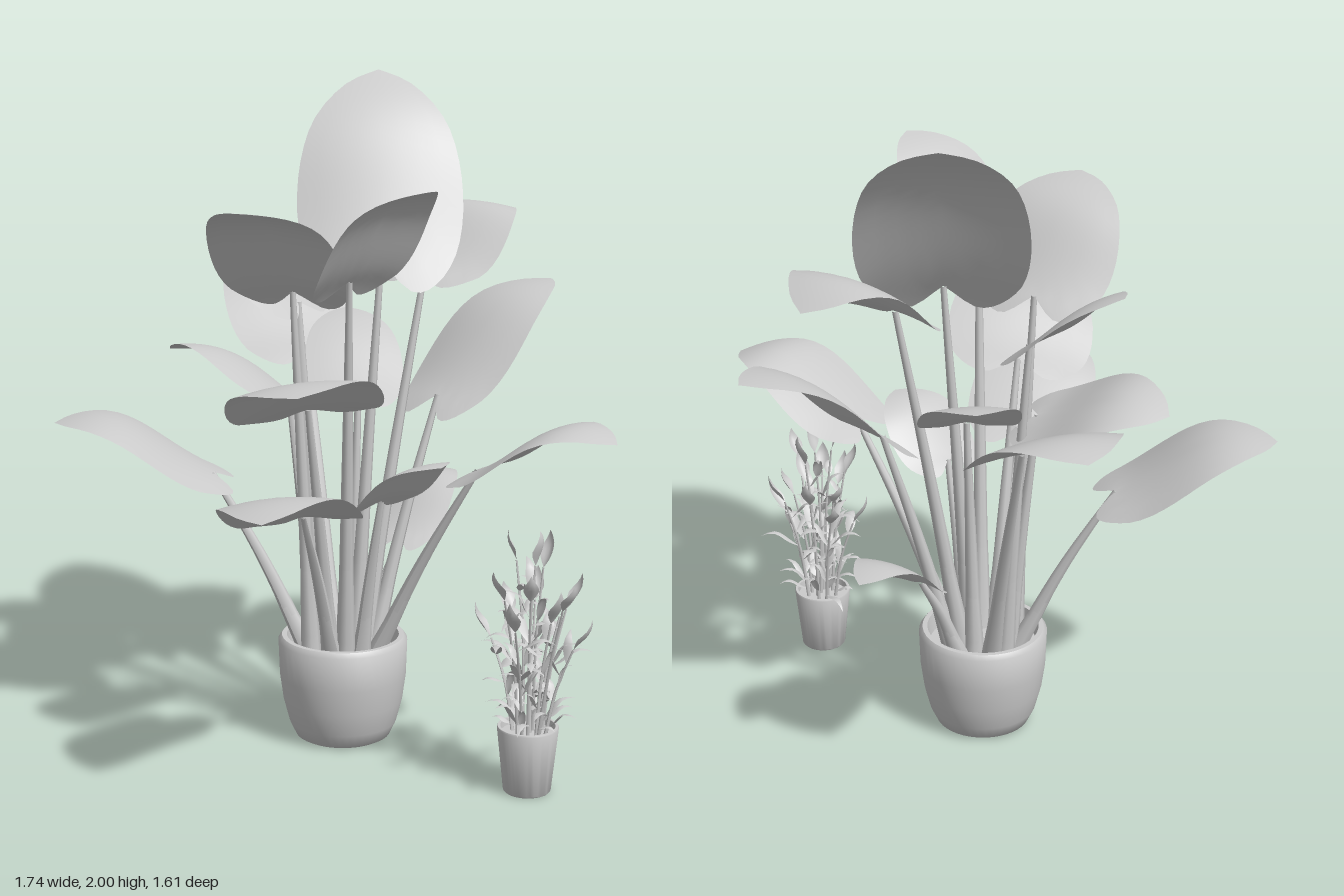
import * as THREE from 'three';
import { toCreasedNormals } from 'three/addons/utils/BufferGeometryUtils.js';

const V = (x, y, z) => new THREE.Vector3(x, y, z);
const grey = new THREE.MeshStandardMaterial({ color: 0xcccccc, roughness: 0.8 });
const thin = new THREE.MeshStandardMaterial({ color: 0xcccccc, roughness: 0.8, side: THREE.DoubleSide });

let seed = 7;
const rand = () => (seed = (seed * 16807) % 2147483647) / 2147483647;
const range = (a, b) => a + (b - a) * rand();

// Half outlines: x = distance along the midrib (0 base, 1 tip), y = share of the full width
const outline = pts => new THREE.SplineCurve(pts.map(p => new THREE.Vector2(...p)));
const HEART = outline([[0, 0], [-0.14, 0.18], [-0.1, 0.33], [0.05, 0.45], [0.26, 0.5],
  [0.5, 0.48], [0.72, 0.39], [0.91, 0.2], [1, 0]]);
const LANCE = outline([[0, 0], [0.2, 0.32], [0.42, 0.5], [0.7, 0.35], [1, 0]]);

function add(group, name, geometry, material) {
  const mesh = new THREE.Mesh(geometry, material);
  mesh.name = name;
  group.add(mesh);
  return mesh;
}

// Leaf blade: a grid stretched between the midrib and the outline, then arched (most near the tip) and cupped
function bladeGeometry({ base, tip, width, shape, roll = 0, arch = 0.13, cup = 0.25, rows = 24, cols = 4 }) {
  const along = tip.clone().sub(base);
  const length = along.length();
  const dir = along.clone().normalize();
  const side = dir.clone().cross(V(0, 1, 0)).normalize().applyAxisAngle(dir, roll);
  const normal = side.clone().cross(dir);
  const geo = new THREE.PlaneGeometry(1, 1, cols * 2, rows);
  const pos = geo.attributes.position;
  for (let i = 0; i <= rows; i++) {
    const t = i / rows;
    const edge = shape.getPoint(t);
    for (let j = -cols; j <= cols; j++) {
      const f = j / cols;
      const s = THREE.MathUtils.lerp(t, edge.x, Math.abs(f));
      const w = edge.y * f;
      const h = arch * length * Math.sin(Math.PI * s * Math.sqrt(Math.abs(s))) - cup * width * w * w;
      const p = base.clone().addScaledVector(along, s).addScaledVector(side, w * width).addScaledVector(normal, h);
      pos.setXYZ(i * (cols * 2 + 1) + j + cols, p.x, p.y, p.z);
    }
  }
  geo.computeVertexNormals();
  return geo;
}

// Tapered stalk along a curve
function stalkGeometry(curve, r0, r1, segments = 14, sides = 8) {
  const geo = new THREE.TubeGeometry(curve, segments, 1, sides);
  const pos = geo.attributes.position;
  const v = V(0, 0, 0);
  for (let i = 0; i <= segments; i++) {
    const t = i / segments;
    const c = curve.getPointAt(t);
    for (let j = 0; j <= sides; j++) {
      const k = i * (sides + 1) + j;
      v.fromBufferAttribute(pos, k).sub(c).multiplyScalar(THREE.MathUtils.lerp(r0, r1, t)).add(c);
      pos.setXYZ(k, v.x, v.y, v.z);
    }
  }
  geo.computeVertexNormals();
  return geo;
}

function pot(name, x, z, profile, soilRadius, soilY) {
  const g = new THREE.Group();
  g.name = name;
  g.position.set(x, 0, z);
  const lathe = new THREE.LatheGeometry(profile.map(p => new THREE.Vector2(...p)), 40);
  add(g, name + 'Shell', toCreasedNormals(lathe, 0.7), grey);
  add(g, name + 'Soil', new THREE.CylinderGeometry(soilRadius, soilRadius, 0.01, 32), grey).position.y = soilY;
  return g;
}

// One broad leaf: its stalk rises from a ring in the soil, on the side the leaf leans to
function broadLeaf(base, tip, width, { roll, arch, ring = 0.1 }) {
  const leaf = new THREE.Group();
  leaf.name = 'broadLeaf';
  const centre = V(-0.05, 0.25, -0.012);
  const root = base.clone().sub(centre).setY(0).setLength(ring).add(centre);
  const mid = root.clone().lerp(base, 0.5).add(V(0, 0.025, 0));
  const sheathTop = root.clone().lerp(base, 0.42).add(V(0, 0.02, 0));
  add(leaf, 'blade', bladeGeometry({ base, tip, width, shape: HEART, roll, arch }), thin);
  add(leaf, 'stalk', stalkGeometry(new THREE.CatmullRomCurve3([root, mid, base]), 0.026, 0.009), grey);
  add(leaf, 'sheath', stalkGeometry(new THREE.LineCurve3(root, sheathTop), 0.032, 0.014, 6), grey);
  return leaf;
}

function largePlant() {
  const g = new THREE.Group();
  g.name = 'largePlant';
  g.add(pot('largePot', -0.05, -0.012, [[0, 0], [0.13, 0], [0.145, 0.008], [0.165, 0.05], [0.183, 0.12],
    [0.194, 0.2], [0.198, 0.31], [0.187, 0.325], [0.172, 0.325], [0.163, 0.26]], 0.166, 0.265));
  const leaf = (base, tip, width, shape = {}) => g.add(broadLeaf(V(...base), V(...tip), width, shape));
  // top tier
  leaf([0, 1.47, -0.13], [-0.26, 2, -0.43], 0.5, { arch: 0.08, ring: 0.04 });
  leaf([0.14, 1.47, 0.18], [0.45, 1.76, 0.2], 0.37);
  leaf([-0.13, 1.4, 0.12], [-0.03, 1.68, 0.45], 0.42);
  leaf([0.04, 1.43, -0.29], [0.01, 1.55, -0.69], 0.4, { arch: 0.24, ring: 0.07 });
  leaf([-0.25, 1.33, -0.04], [-0.56, 1.54, 0], 0.34, { arch: 0.08 });
  // middle tier
  leaf([-0.44, 1.13, -0.29], [-0.87, 1.32, -0.53], 0.41);
  leaf([0.07, 1.04, -0.32], [0.14, 1.34, -0.81], 0.35);
  leaf([-0.2, 1.06, 0.06], [-0.63, 1.16, 0.13], 0.34, { roll: 0.28, ring: 0.08 });
  leaf([-0.08, 1.06, -0.12], [-0.35, 1.25, -0.38], 0.3, { arch: 0.08, ring: 0.06 });
  leaf([0.06, 1.1, 0.27], [0.31, 1.23, 0.6], 0.45, { roll: 0.14 });
  // low tier
  leaf([0.41, 0.91, -0.08], [0.84, 1.04, -0.16], 0.37, { arch: 0.17 });
  leaf([-0.39, 0.82, 0.2], [-0.74, 0.98, 0.52], 0.42);
  leaf([0.12, 0.81, 0.36], [0.36, 0.93, 0.8], 0.39, { roll: 0.14 });
  leaf([0.16, 0.8, 0.06], [0.41, 0.95, 0.09], 0.29);
  leaf([-0.04, 0.58, -0.28], [-0.1, 0.72, -0.6], 0.22, { arch: 0.18 });
  return g;
}

// Thin stem ending in a pointed bract
function floweringStem(group, curve, bractTip) {
  add(group, 'stem', stalkGeometry(curve, 0.006, 0.003, 8, 5), grey);
  add(group, 'bract', bladeGeometry({ base: curve.getPoint(1), tip: bractTip, width: 0.045, shape: LANCE,
    arch: -0.12, cup: -1, rows: 8, cols: 2 }), thin);
}

function smallPlant() {
  const g = new THREE.Group();
  g.name = 'smallPlant';
  const cx = 0.655, cz = -0.012;
  g.add(pot('smallPot', cx, cz, [[0, 0], [0.066, 0], [0.07, 0.005], [0.09, 0.195], [0.088, 0.2],
    [0.08, 0.2], [0.077, 0.17]], 0.079, 0.175));
  const count = 14;
  for (let i = 0; i < count; i++) {
    const a = i * 2.4;
    const spread = Math.sqrt((i + 0.2) / count);
    const out = V(Math.cos(a), 0, Math.sin(a));
    const height = 0.79 - 0.36 * spread + range(-0.06, 0.06);
    const root = V(cx, 0.17, cz).addScaledVector(out, 0.055 * spread);
    const top = V(cx, height, cz).addScaledVector(out, 0.14 * spread);
    const mid = root.clone().lerp(top, 0.55).addScaledVector(out, -0.012);
    const curve = new THREE.CatmullRomCurve3([root, mid, top]);
    const end = top.clone().addScaledVector(out, 0.05 * spread + 0.008).add(V(0, range(0.07, 0.11), 0));
    floweringStem(g, curve, end);

    // narrow leaves bending outward up the stem
    for (let k = 0; k < 6; k++) {
      const base = curve.getPointAt(0.1 + 0.145 * k);
      const b = a + k * 2.1 + range(-0.5, 0.5);
      const reach = range(0.05, 0.125);
      const tip = base.clone().add(V(Math.cos(b) * reach, range(-0.01, 0.1), Math.sin(b) * reach));
      add(g, 'narrowLeaf', bladeGeometry({ base, tip, width: range(0.02, 0.036), shape: LANCE,
        arch: 0.22, cup: 0.8, rows: 8, cols: 1 }), thin);
    }
  }
  // one longer shoot leaning out to the side
  const lean = new THREE.CatmullRomCurve3([V(0.7, 0.17, 0), V(0.76, 0.42, 0.03), V(0.82, 0.6, 0.06)]);
  floweringStem(g, lean, V(0.865, 0.685, 0.07));
  return g;
}

export function createModel() {
  const model = new THREE.Group();
  model.name = 'pottedPlants';
  model.add(largePlant(), smallPlant());
  return model;
}
